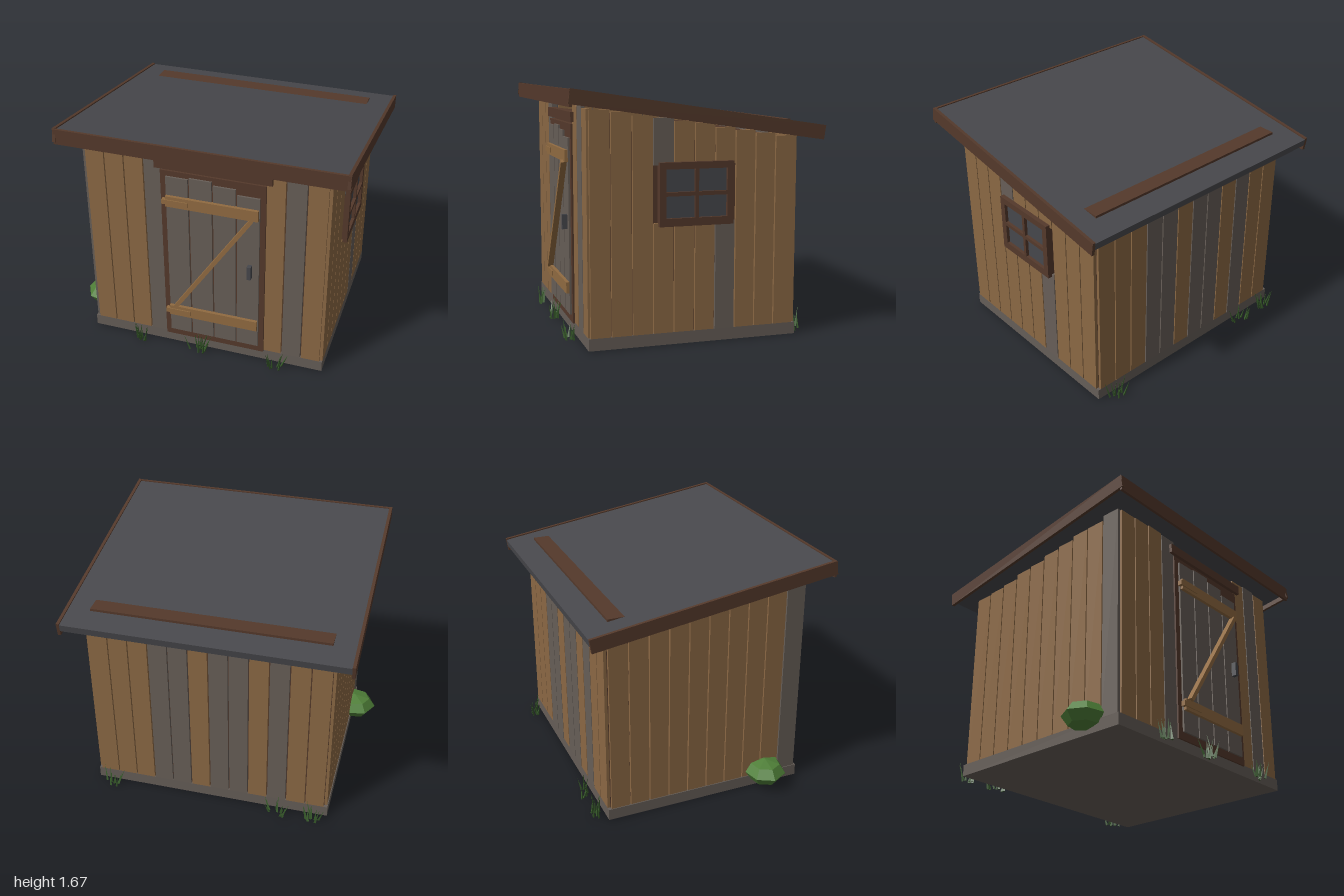
import * as THREE from 'three';

const mat = (name, color) => {
  const m = new THREE.MeshStandardMaterial({ color });
  m.name = name;
  return m;
};

export function createModel() {
  const wood = mat('warm plank', 0x8b6844);
  const grey = mat('weathered plank', 0x675e57);
  const trim = mat('dark trim', 0x54392b);
  const strapWood = mat('strap wood', 0x916b41);
  const stone = mat('base grey', 0x655d57);
  const felt = mat('roof felt', 0x48484c);
  const metal = mat('glass and iron', 0x46474c);
  const leaf = mat('bush green', 0x4f7f38);
  const blade = mat('grass green', 0x385c2b);
  for (const m of [leaf, blade]) m.flatShading = true;

  const shed = new THREE.Group();
  shed.name = 'shed';
  let seed = 7;
  const rand = () => (seed = (seed * 16807) % 2147483647) / 2147483647;

  // Box given by its limits on each axis
  const box = (name, material, x0, x1, y0, y1, z0, z1, parent = shed) => {
    const mesh = new THREE.Mesh(new THREE.BoxGeometry(x1 - x0, y1 - y0, z1 - z0), material);
    mesh.position.set((x0 + x1) / 2, (y0 + y1) / 2, (z0 + z1) / 2);
    mesh.name = name;
    parent.add(mesh);
    return mesh;
  };
  const group = (name) => {
    const g = new THREE.Group();
    g.name = name;
    shed.add(g);
    return g;
  };

  // Base and sloped inner body seen between the planks
  box('base', stone, -0.826, 0.864, 0, 0.08, -0.71, 0.71);
  const profile = new THREE.Shape([[-0.69, 0.07], [0.69, 0.07], [0.69, 1.48], [-0.69, 1.32]]
    .map(([z, y]) => new THREE.Vector2(-z, y)));
  const body = new THREE.Mesh(new THREE.ExtrudeGeometry(profile, { depth: 1.645, bevelEnabled: false }), trim);
  body.rotation.y = Math.PI / 2;
  body.position.x = -0.8;
  body.name = 'innerWalls';
  shed.add(body);

  // Plank walls; tops follow the roof slope with slight unevenness
  const eave = (z) => 1.435 + 0.143 * z;
  const topAt = (z) => eave(z) + (rand() - 0.5) * 0.02;
  const gap = 0.004, px = 1.65 / 12, pz = 1.39 / 10;
  const front = group('frontWall'), back = group('backWall');
  const right = group('rightWall'), left = group('leftWall');
  for (let i = 0; i < 12; i++) {
    const x0 = -0.802 + i * px + gap, x1 = -0.802 + (i + 1) * px - gap;
    // The doorway takes the middle planks
    if (i < 4 || i > 8) {
      box('frontPlank', [3, 10].includes(i) ? grey : wood, x0, x1, 0.08, topAt(0.71) + 0.003, 0.685, 0.71, front);
    }
    const k = 11 - i;
    box('backPlank', [3, 4, 6, 7, 9].includes(k) ? grey : wood, x0, x1, 0.08, topAt(-0.7), -0.71, -0.685, back);
  }
  for (let i = 0; i < 10; i++) {
    const z1 = 0.7 - i * pz - gap, z0 = 0.7 - (i + 1) * pz + gap, zc = (z0 + z1) / 2;
    if (i >= 3 && i <= 6) {
      // Planks cut above and below the window
      box('plankBelowWindow', i === 6 ? grey : wood, 0.84, 0.865, 0.08, 0.8, z0, z1, right);
      box('plankAboveWindow', i === 3 ? grey : wood, 0.84, 0.865, 1.17, topAt(zc), z0, z1, right);
    } else {
      box('rightPlank', wood, 0.84, 0.865, 0.08, topAt(zc), z0, z1, right);
    }
    box('leftPlank', i === 0 ? grey : wood, -0.82, -0.795, 0.08, topAt(zc), z0, z1, left);
  }

  // Roof sheet and edge boards, tilted down to the back
  const roof = group('roof');
  const tilt = new THREE.Group();
  tilt.name = 'tiltedRoof';
  tilt.position.set(0.023, 1.537, -0.004);
  tilt.rotation.x = -0.147;
  roof.add(tilt);
  box('roofSheet', felt, -0.955, 0.955, -0.058, -0.008, -0.85, 0.835, tilt);
  for (const s of [-1, 1]) {
    const a = s * 0.952, b = s * 0.973;
    box('sideFascia', trim, Math.min(a, b), Math.max(a, b), -0.094, 0, -0.85, 0.85, tilt);
  }
  box('frontFascia', trim, -0.945, 0.992, 1.55, 1.657, 0.825, 0.843, roof);
  box('roofBatten', trim, -0.782, 0.825, 1.4, 1.447, -0.67, -0.54, roof);

  // Door with frame, header, boards, straps, brace and handle
  const door = group('door');
  box('doorFrame', trim, -0.268, 0.447, 0.072, 1.415, 0.68, 0.722, door);
  box('doorHeader', trim, -0.305, 0.488, 1.43, 1.495, 0.68, 0.732, door);
  [1.377, 1.388, 1.362, 1.322].forEach((top, i) => {
    const x = -0.228 + i * 0.162;
    box('doorBoard', grey, x, x + 0.152, 0.125, top, 0.7, 0.735, door);
  });
  for (const y of [1.202, 0.31]) {
    box('doorStrap', strapWood, -0.226, 0.405, y - 0.039, y + 0.039, 0.73, 0.757, door);
    box('strapHinge', strapWood, -0.25, -0.07, y - 0.018, y + 0.016, 0.735, 0.764, door);
  }
  const dx = 0.54, dy = 0.815;
  const brace = box('doorBrace', strapWood, -0.014, 0.014, -0.49, 0.49, 0.733, 0.775, door);
  brace.position.x = 0.09;
  brace.position.y = 0.757;
  brace.rotation.z = -Math.atan2(dx, dy);
  box('doorHandle', metal, 0.335, 0.363, 0.705, 0.805, 0.733, 0.77, door);

  // Window: one frame with four openings over a glass sheet
  const win = group('window');
  const frame = new THREE.Shape([[-0.25, 0.78], [0.25, 0.78], [0.25, 1.19], [-0.25, 1.19]]
    .map(([x, y]) => new THREE.Vector2(x, y)));
  for (const [x0, x1] of [[-0.206, -0.012], [0.012, 0.206]]) {
    for (const [y0, y1] of [[0.832, 0.974], [1.0, 1.146]]) {
      frame.holes.push(new THREE.Path([[x0, y0], [x0, y1], [x1, y1], [x1, y0]]
        .map(([x, y]) => new THREE.Vector2(x, y))));
    }
  }
  const frameMesh = new THREE.Mesh(new THREE.ExtrudeGeometry(frame, { depth: 0.05, bevelEnabled: false }), trim);
  frameMesh.rotation.y = Math.PI / 2;
  frameMesh.position.x = 0.846;
  frameMesh.name = 'windowFrame';
  win.add(frameMesh);
  box('windowGlass', metal, 0.85, 0.874, 0.82, 1.16, -0.22, 0.22, win);

  // Faceted bush at the side
  const bush = new THREE.Mesh(new THREE.SphereGeometry(0.16, 7, 4), leaf);
  bush.scale.set(1, 0.55, 0.9);
  bush.position.set(-0.84, 0.115, 0.45);
  bush.name = 'bush';
  shed.add(bush);

  // Grass tufts of thin leaning blades
  const tufts = [[-0.45, 0.765, 0.14], [-0.025, 0.765, 0.17], [0.54, 0.765, 0.13],
    [0.76, -0.77, 0.14], [-0.47, -0.77, 0.13], [-0.74, -0.77, 0.14]];
  for (const [x, z, h] of tufts) {
    const tuft = group('grassTuft');
    tuft.position.set(x, 0, z);
    for (let i = 0; i < 9; i++) {
      const len = h * (0.65 + 0.4 * rand());
      const cone = new THREE.ConeGeometry(0.009, len, 3);
      cone.translate(0, len / 2, 0);
      const stem = new THREE.Mesh(cone, blade);
      stem.position.set((rand() - 0.5) * 0.11, 0, (rand() - 0.5) * 0.06);
      stem.rotation.set((rand() - 0.5) * 0.5, 0, -stem.position.x * 6 + (rand() - 0.5) * 0.3);
      stem.name = 'grassBlade';
      tuft.add(stem);
    }
  }
  return shed;
}
